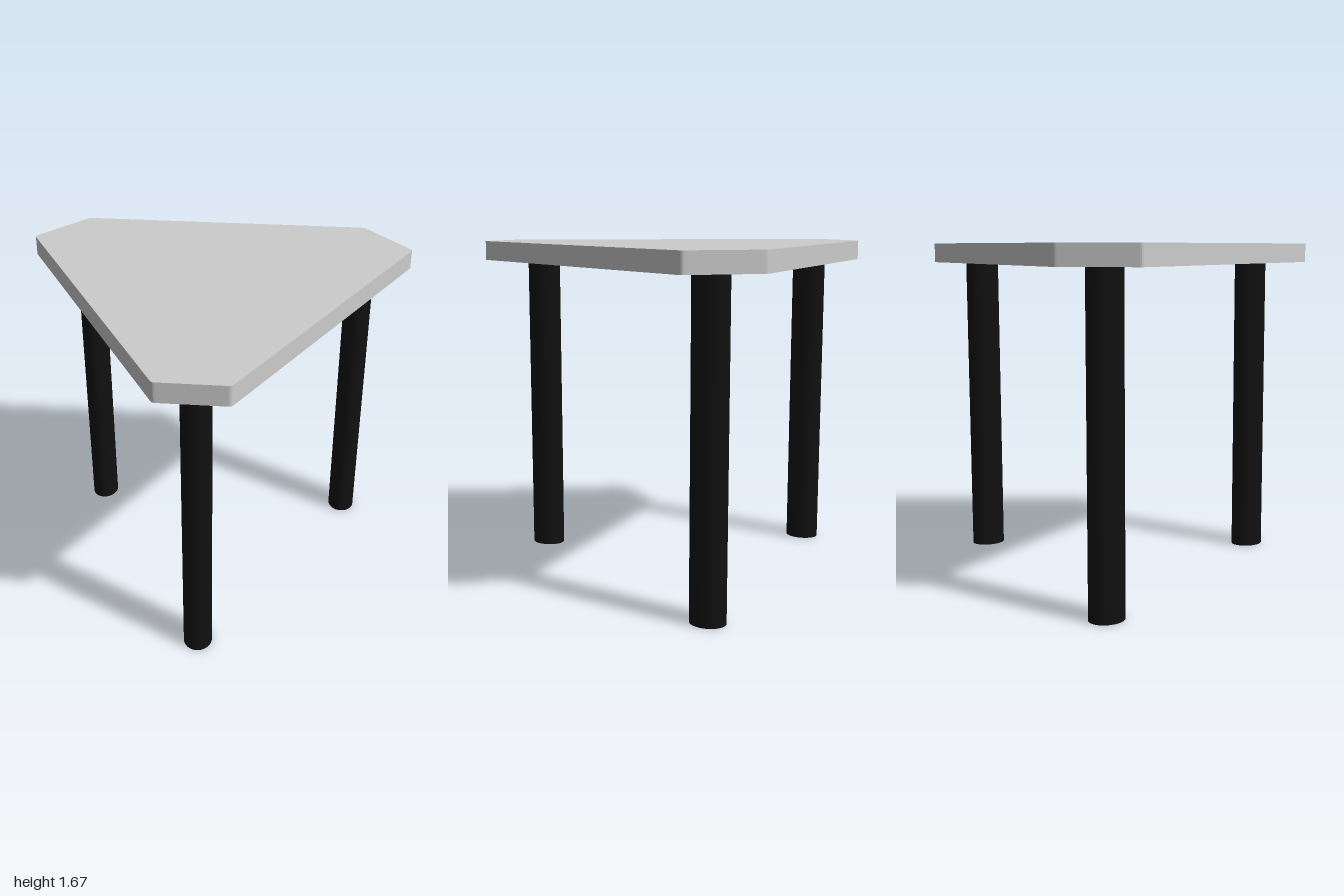
import * as THREE from 'three';

const LEG_HEIGHT = 1.572;
const TOP_THICKNESS = 0.099;

export function createModel() {
  const table = new THREE.Group();
  table.name = 'table';
  const topMaterial = new THREE.MeshStandardMaterial({ color: 0xcccccc });
  const legMaterial = new THREE.MeshStandardMaterial({ color: 0x111111 });

  // Tabletop: triangle with cut-off corners, outline as [x, z], each corner slightly eased
  const corners = [
    [-0.76, -0.888], [0.76, -0.888], [1.003, -0.6],
    [0.175, 0.888], [-0.16, 0.888], [-1.003, -0.6],
  ].map(([x, z]) => new THREE.Vector2(x, -z));
  const outline = new THREE.Shape();
  corners.forEach((corner, i) => {
    const toward = (other) => other.clone().sub(corner).setLength(0.014).add(corner);
    const before = toward(corners[(i + 5) % 6]);
    const after = toward(corners[(i + 1) % 6]);
    if (i === 0) outline.moveTo(before.x, before.y);
    else outline.lineTo(before.x, before.y);
    outline.quadraticCurveTo(corner.x, corner.y, after.x, after.y);
  });
  outline.closePath();
  const topGeometry = new THREE.ExtrudeGeometry(outline, {
    depth: TOP_THICKNESS, bevelEnabled: false, curveSegments: 3,
  });
  topGeometry.rotateX(-Math.PI / 2);
  const top = new THREE.Mesh(topGeometry, topMaterial);
  top.name = 'tabletop';
  top.position.y = LEG_HEIGHT;
  table.add(top);

  // Three straight legs with a slightly oval section
  const legGeometry = new THREE.CylinderGeometry(1, 1, LEG_HEIGHT, 40);
  legGeometry.scale(0.073, 1, 0.087);
  const legs = [
    ['frontLeg', -0.003, 0.632],
    ['backLeftLeg', 0.74, -0.627],
    ['backRightLeg', -0.714, -0.627],
  ];
  for (const [name, x, z] of legs) {
    const leg = new THREE.Mesh(legGeometry, legMaterial);
    leg.name = name;
    leg.position.set(x, LEG_HEIGHT / 2, z);
    table.add(leg);
  }
  return table;
}
